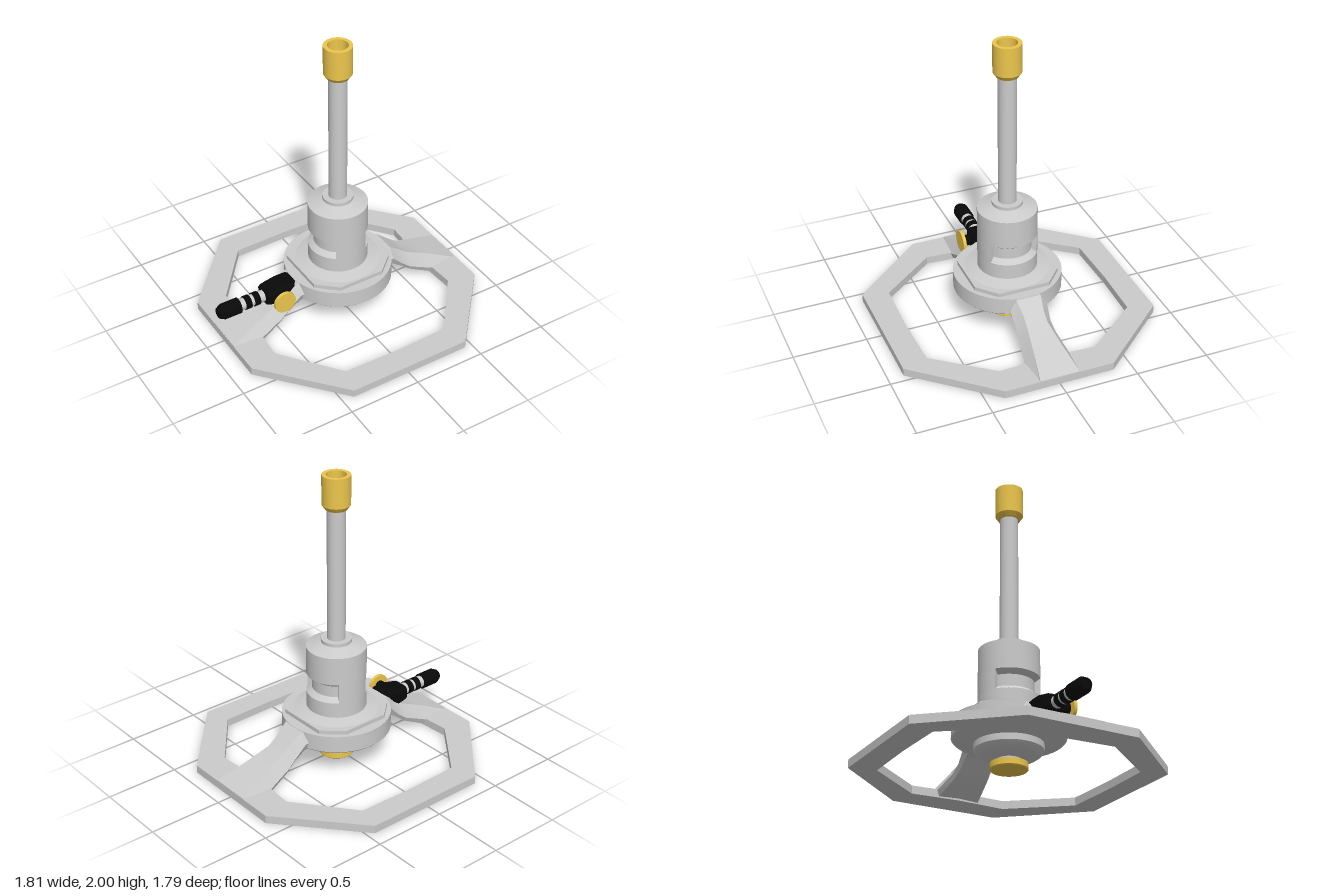
import * as THREE from 'three';
import { toCreasedNormals } from 'three/addons/utils/BufferGeometryUtils.js';

const grey = new THREE.MeshStandardMaterial({ color: 0xcccccc });
const greyThin = new THREE.MeshStandardMaterial({ color: 0xcccccc, side: THREE.DoubleSide });
const brass = new THREE.MeshStandardMaterial({ color: 0xecc64c });
const black = new THREE.MeshStandardMaterial({ color: 0x090909 });

function add(parent, name, geometry, material = grey) {
  const mesh = new THREE.Mesh(geometry, material);
  mesh.name = name;
  parent.add(mesh);
  return mesh;
}

// Turned part; profile is [radius, y] pairs from bottom to top on the outside
function turned(profile, segments = 48, start = 0, length = Math.PI * 2) {
  const points = profile.map(([r, y]) => new THREE.Vector2(r, y));
  return toCreasedNormals(new THREE.LatheGeometry(points, segments, start, length), 0.5);
}

// Solid skinned along +x over cross-sections with equal point counts
function loft(rings) {
  const pos = [];
  const n = rings[0].length;
  const tri = (a, b, c) => pos.push(...a, ...b, ...c);
  for (let i = 0; i < rings.length - 1; i++) {
    for (let j = 0; j < n; j++) {
      const k = (j + 1) % n;
      const [a, b, c, d] = [rings[i][j], rings[i][k], rings[i + 1][k], rings[i + 1][j]];
      tri(a, b, c);
      tri(a, c, d);
    }
  }
  const first = rings[0], last = rings[rings.length - 1];
  for (let j = 1; j < n - 1; j++) {
    tri(first[0], first[j + 1], first[j]);
    tri(last[0], last[j], last[j + 1]);
  }
  const geometry = new THREE.BufferGeometry();
  geometry.setAttribute('position', new THREE.Float32BufferAttribute(pos, 3));
  return toCreasedNormals(geometry, 0.4);
}

function extrudeUp(shape, depth) {
  return new THREE.ExtrudeGeometry(shape, { depth, bevelEnabled: false }).rotateX(-Math.PI / 2);
}

const vecs = (list) => list.map(([x, y]) => new THREE.Vector2(x, y));

function buildBase(parent) {
  // Octagonal floor ring
  const ring = new THREE.Shape(vecs([[0.888, -0.375], [0.888, 0.375], [0.433, 0.895], [-0.433, 0.895],
    [-0.888, 0.375], [-0.888, -0.375], [-0.433, -0.895], [0.433, -0.895]]));
  ring.holes.push(new THREE.Path(vecs([[0.67, 0], [0.69, -0.335], [0.385, -0.72], [0, -0.73], [-0.385, -0.72],
    [-0.69, -0.335], [-0.67, 0], [-0.69, 0.335], [-0.385, 0.72], [0, 0.73], [0.385, 0.72], [0.69, 0.335]])));
  add(parent, 'baseRing', extrudeUp(ring, 0.055));

  // Sloping arms: x, top y, half width, side y, half width, bottom y, half width
  const sections = [
    [0.32, 0.322, 0.085, 0.25, 0.13, 0.2, 0.11],
    [0.367, 0.322, 0.085, 0.25, 0.13, 0.195, 0.11],
    [0.45, 0.257, 0.072, 0.165, 0.122, 0.135, 0.105],
    [0.515, 0.205, 0.073, 0.115, 0.13, 0.085, 0.115],
    [0.69, 0.135, 0.1, 0.045, 0.158, 0.004, 0.145],
    [0.886, 0.058, 0.137, 0.045, 0.139, 0.004, 0.138],
  ];
  const arm = loft(sections.map(([x, yt, wt, ym, wm, yb, wb]) => [
    [x, yt, -wt], [x, yt, wt], [x, ym, wm], [x, yb, wb], [x, yb, -wb], [x, ym, -wm]]));
  add(parent, 'leftArm', arm);
  add(parent, 'rightArm', arm.clone().rotateY(Math.PI));
}

function buildBody(parent) {
  // Flange with the rounded bowl and stem below it
  add(parent, 'flange', turned([[0, 0.045], [0.083, 0.045], [0.083, 0.072], [0.135, 0.077], [0.18, 0.092],
    [0.21, 0.112], [0.224, 0.13], [0.224, 0.172], [0.355, 0.2], [0.365, 0.21], [0.365, 0.325], [0, 0.325]]));
  add(parent, 'bottomKnob', turned([[0, 0.003], [0.115, 0.003], [0.122, 0.01], [0.122, 0.05], [0, 0.05]]), brass);

  // Eight-sided plate
  const plate = new THREE.Shape(vecs([[0.295, -0.178], [0.295, 0.178], [0.163, 0.297], [-0.163, 0.297],
    [-0.295, 0.178], [-0.295, -0.178], [-0.163, -0.297], [0.163, -0.297]]));
  add(parent, 'plate', extrudeUp(plate, 0.027).translate(0, 0.325, 0));
  add(parent, 'plateCone', turned([[0.29, 0.351], [0.2, 0.373]]));

  // Barrel with an air slot on each side
  add(parent, 'lowerBarrel', turned([[0.2, 0.35], [0.2, 0.48]]));
  add(parent, 'upperBarrel', turned([[0.2, 0.615], [0.2, 0.81], [0.102, 0.842], [0.102, 0.865], [0, 0.865]]));
  const half = 0.96;
  const slot = [[0.2, 0.48], [0.163, 0.508], [0.163, 0.587], [0.2, 0.615]];
  const wall = new THREE.ShapeGeometry(new THREE.Shape(vecs(slot)));
  for (const side of [1, -1]) {
    const mid = side * Math.PI / 2;
    add(parent, 'airSlot', turned(slot, 20, mid - half, half * 2));
    add(parent, 'barrelWeb', turned([[0.2, 0.48], [0.2, 0.615]], 12, mid + half, Math.PI - half * 2));
    for (const end of [1, -1]) {
      add(parent, 'slotEnd', wall, greyThin).rotation.y = mid - Math.PI / 2 + end * half;
    }
  }
}

function buildTube(parent) {
  add(parent, 'burnerTube', new THREE.CylinderGeometry(0.061, 0.061, 0.935, 40, 1, true).translate(0, 1.3225, 0), greyThin);
  add(parent, 'burnerTip', turned([[0.061, 1.772], [0.072, 1.772], [0.093, 1.802], [0.093, 2],
    [0.066, 2], [0.066, 1.79], [0.061, 1.79]]), brass);
}

function buildValve(parent) {
  const valve = new THREE.Group();
  valve.name = 'gasValve';
  parent.add(valve);
  // Turned along x: profile runs from the hose end inwards
  const alongX = (name, profile, material) =>
    add(valve, name, turned(profile, 24).rotateZ(-Math.PI / 2).translate(0, 0.256, 0), material);

  alongX('hoseTip', [[0, -0.905], [0.036, -0.905], [0.054, -0.87], [0.054, -0.75], [0, -0.75]], black);
  alongX('nozzle', [[0.041, -0.76], [0.041, -0.55]], grey);
  for (const x of [-0.713, -0.648]) {
    alongX('barb', [[0.041, x], [0.047, x], [0.047, x + 0.042], [0.041, x + 0.042]], black);
  }

  // Chamfered block, widening towards the flange: x, half height, half depth
  const block = [[-0.568, 0.046, 0.062], [-0.55, 0.052, 0.073], [-0.515, 0.058, 0.078],
    [-0.45, 0.073, 0.08], [-0.37, 0.073, 0.08], [-0.35, 0.066, 0.07]].map(([x, h, w]) => {
    const [ch, cw] = [h * 0.65, w * 0.7];
    return [[h, cw], [ch, w], [-ch, w], [-h, cw], [-h, -cw], [-ch, -w], [ch, -w], [h, -cw]]
      .map(([y, z]) => [x, 0.258 + y, z]);
  });
  add(valve, 'valveBlock', loft(block), black);

  // Handwheel facing the front
  const alongZ = (name, r, z0, z1, material) =>
    add(valve, name, new THREE.CylinderGeometry(r, r, z1 - z0, 32).rotateX(Math.PI / 2)
      .translate(-0.481, 0.265, (z0 + z1) / 2), material);
  alongZ('valveStem', 0.037, 0.05, 0.13, black);
  alongZ('valveWheel', 0.077, 0.13, 0.152, brass);
}

export function createModel() {
  const model = new THREE.Group();
  model.name = 'gasBurner';
  const stand = new THREE.Group();
  stand.name = 'stand';
  stand.position.x = 0.015;
  model.add(stand);
  buildBase(stand);
  buildBody(stand);
  buildTube(stand);
  buildValve(model);
  return model;
}
